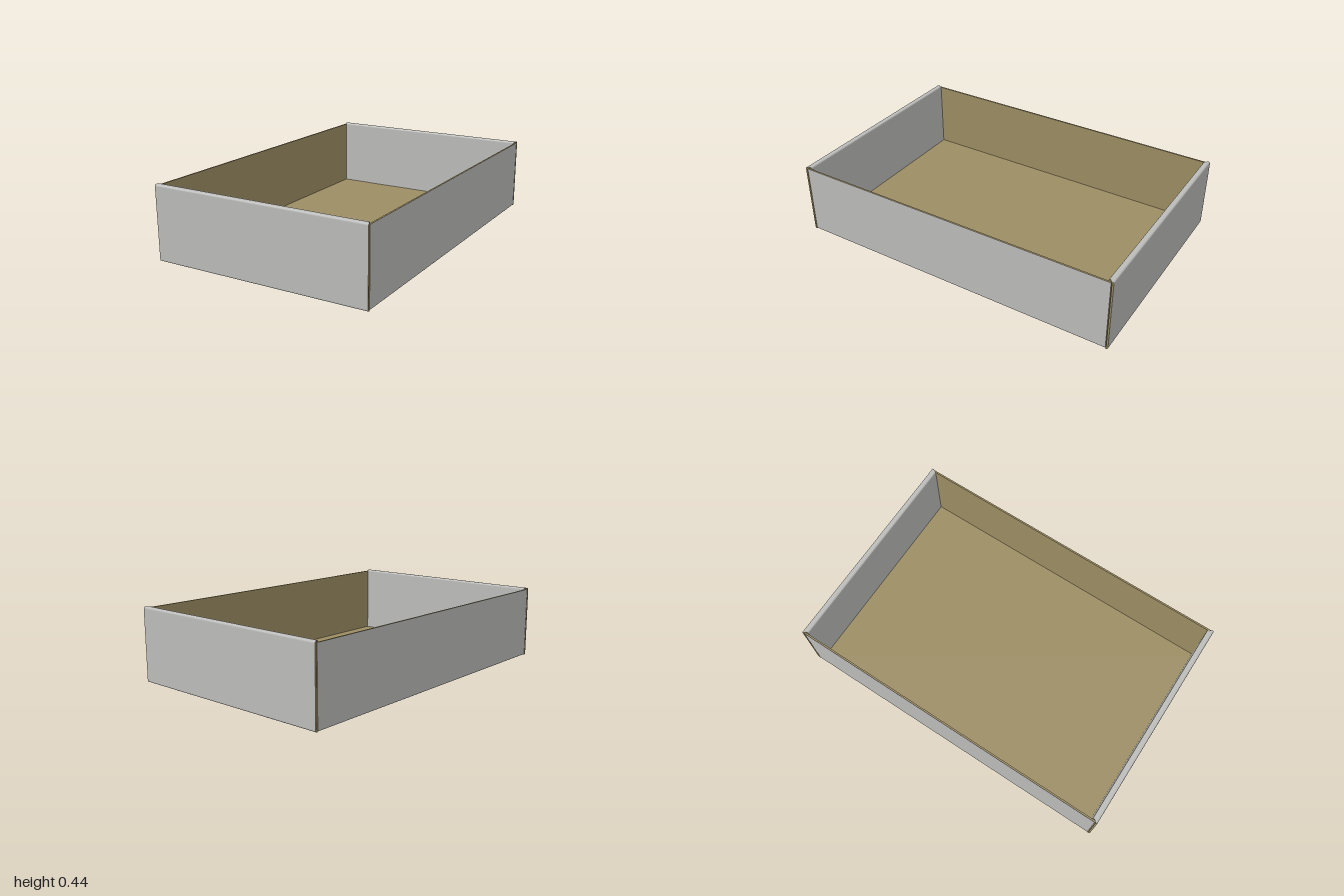
import * as THREE from 'three';

const T = 0.01; // board thickness

const grey = new THREE.MeshStandardMaterial({ color: 0xbcbcba });
grey.name = 'grey coated face';
const kraft = new THREE.MeshStandardMaterial({ color: 0x9c8d63, side: THREE.DoubleSide });
kraft.name = 'brown kraft face';

// Path points are [u, v, halfWidth, foldRadius]; folds are rounded off.
function roundPath(points) {
  const out = [];
  points.forEach(([u, v, w, r], i) => {
    if (!r) { out.push([u, v, w]); return; }
    const toward = (q) => {
      const k = r / Math.hypot(q[0] - u, q[1] - v);
      return [u + (q[0] - u) * k, v + (q[1] - v) * k];
    };
    const a = toward(points[i - 1]), b = toward(points[i + 1]);
    for (let s = 0; s <= 5; s++) {
      const t = s / 5, p = (1 - t) ** 2, q = 2 * t * (1 - t), e = t * t;
      out.push([p * a[0] + q * u + e * b[0], p * a[1] + q * v + e * b[1], w]);
    }
  });
  return out;
}

// The same path moved inwards (to its left) by the board thickness.
function insetPath(path) {
  const normal = (a, b) => {
    const l = Math.hypot(b[0] - a[0], b[1] - a[1]);
    return [-(b[1] - a[1]) / l, (b[0] - a[0]) / l];
  };
  return path.map((p, i) => {
    const n0 = normal(path[Math.max(i - 1, 0)], path[Math.max(i, 1)]);
    const last = path.length - 1;
    const n1 = normal(path[Math.min(i, last - 1)], path[Math.min(i + 1, last)]);
    const k = T / (1 + n0[0] * n1[0] + n0[1] * n1[1]);
    return [p[0] + (n0[0] + n1[0]) * k, p[1] + (n0[1] + n1[1]) * k, p[2]];
  });
}

// Ribbon between two rows of 3D points.
function ribbon(rowA, rowB) {
  const pos = [], index = [], n = rowA.length;
  rowA.forEach((p) => pos.push(...p));
  rowB.forEach((p) => pos.push(...p));
  for (let i = 0; i < n - 1; i++) index.push(i, i + 1, n + i, i + 1, n + i + 1, n + i);
  const g = new THREE.BufferGeometry();
  g.setAttribute('position', new THREE.Float32BufferAttribute(pos, 3));
  g.setIndex(index);
  g.computeVertexNormals();
  return g;
}

// Folded board: grey outer face, brown inner face and brown cut edges.
function foldedBoard(name, points) {
  const group = new THREE.Group();
  group.name = name;
  const row = (path, s) => path.map(([u, v, w]) => [u, v, s * w]);
  const outer = roundPath(points), inner = insetPath(outer);
  const oA = row(outer, -1), oB = row(outer, 1), iA = row(inner, -1), iB = row(inner, 1);
  const n = outer.length - 1;
  const add = (label, a, b, material) => {
    const m = new THREE.Mesh(ribbon(a, b), material);
    m.name = label;
    group.add(m);
  };
  add('outerFace', oA, oB, grey);
  add('innerFace', iB, iA, kraft);
  add('cutEdge', oB, iB, kraft);
  add('cutEdge', iA, oA, kraft);
  add('startEdge', [iA[0], oA[0]], [iB[0], oB[0]], kraft);
  add('finishEdge', [oA[n], iA[n]], [oB[n], iB[n]], kraft);
  return group;
}

export function createModel() {
  const model = new THREE.Group();
  model.name = 'cardboardTray';

  // Floor and the two long side walls, one folded sheet
  model.add(foldedBoard('floorAndSideWalls', [
    [-0.657, 0.435, 0.985, 0],
    [-0.657, 0.004, 0.985, 0.012],
    [0.657, 0.004, 0.985, 0.012],
    [0.657, 0.435, 0.985, 0],
  ]));

  // Tab with slanted corners that locks into the floor
  const tabShape = new THREE.Shape([
    new THREE.Vector2(-0.1, 0.016), new THREE.Vector2(-0.085, 0),
    new THREE.Vector2(0.085, 0), new THREE.Vector2(0.1, 0.016),
  ]);
  const tabGeometry = new THREE.ExtrudeGeometry(tabShape, { depth: 0.018, bevelEnabled: false });

  for (const s of [1, -1]) {
    // Double end wall, rolled over at the top and down inside
    const end = foldedBoard(s > 0 ? 'frontWall' : 'backWall', [
      [0.984, 0.004, 0.65, 0],
      [1, 0.004, 0.657, 0.012],
      [1, 0.443, 0.657, 0.012],
      [0.965, 0.443, 0.645, 0.012],
      [0.965, 0.015, 0.645, 0],
    ]);
    end.rotation.y = -s * Math.PI / 2;
    model.add(end);

    for (const x of [-0.35, 0.35]) {
      const tab = new THREE.Mesh(tabGeometry, kraft);
      tab.name = 'lockingTab';
      tab.position.set(x, 0, s * 0.975 - 0.009);
      model.add(tab);

      // Side flap tucked between the two layers of the end wall
      const flap = new THREE.Mesh(new THREE.BoxGeometry(0.4, 0.4, 0.008), kraft);
      flap.name = 'tuckedFlap';
      flap.position.set(Math.sign(x) * 0.446, 0.222, s * 0.981);
      model.add(flap);
    }
  }
  return model;
}
